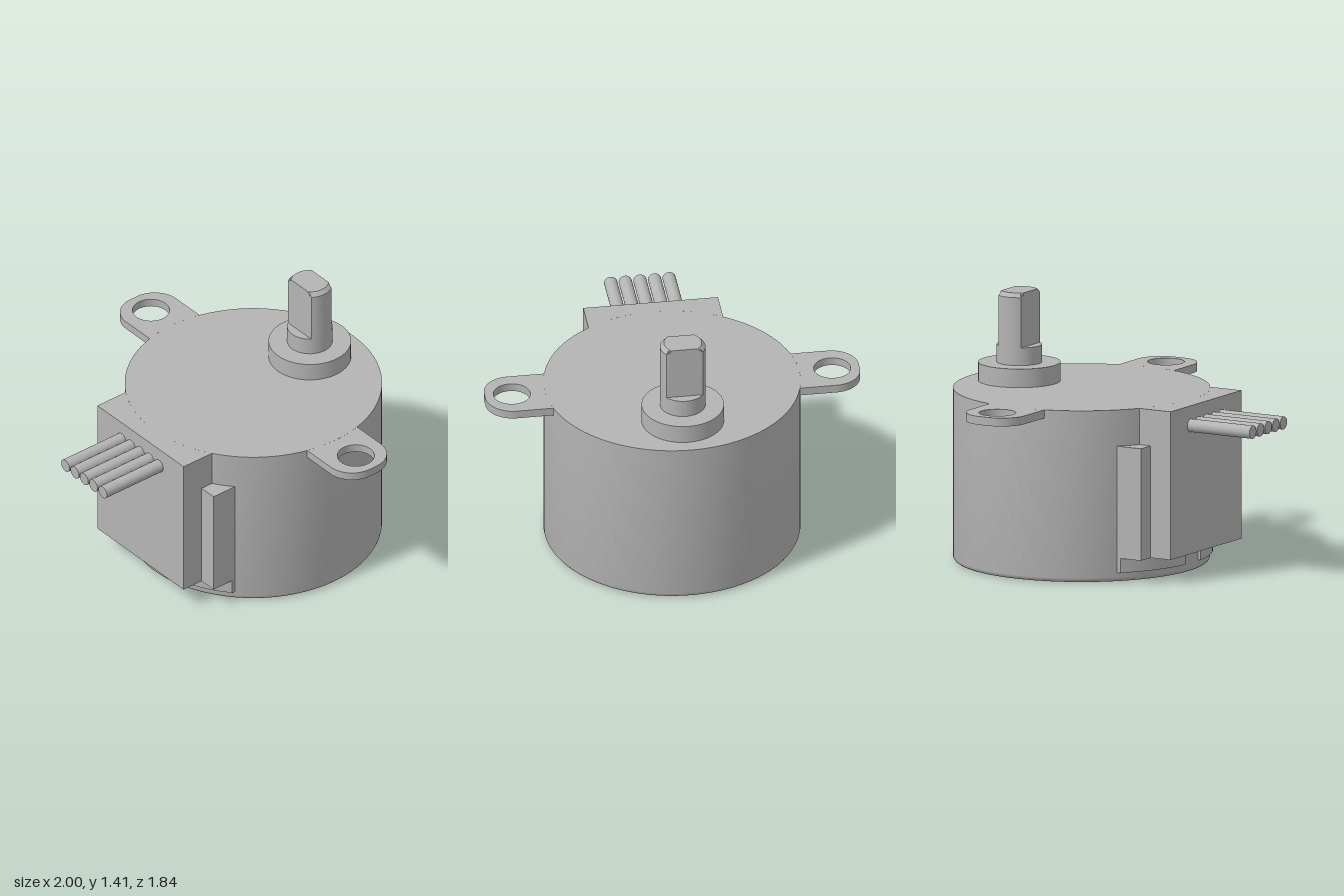
import * as THREE from 'three';
import { toCreasedNormals } from 'three/addons/utils/BufferGeometryUtils.js';

const R = 0.68;        // can radius
const CZ = -0.24;      // can axis
const TOP = 0.925;     // top face of the can

export function createModel() {
  const group = new THREE.Group();
  const metal = new THREE.MeshStandardMaterial({ color: 0xb4b4b4 });
  metal.name = 'grey metal';

  const add = (name, geometry, x = 0, y = 0, z = 0) => {
    const mesh = new THREE.Mesh(geometry, metal);
    mesh.name = name;
    mesh.position.set(x, y, z);
    group.add(mesh);
    return mesh;
  };
  const lathe = (pts, segments) =>
    new THREE.LatheGeometry(pts.map(([r, y]) => new THREE.Vector2(r, y)), segments);
  // Extrudes a plan shape drawn in (x, z) downwards from y = 0
  const slab = (shape, depth) => {
    const g = new THREE.ExtrudeGeometry(shape, { depth, bevelEnabled: false, curveSegments: 32 });
    return toCreasedNormals(g.rotateX(Math.PI / 2), 0.5);
  };

  // Can with a rounded bottom edge
  const f = 0.025;
  const profile = [[0, 0]];
  for (let i = 0; i <= 4; i++) {
    const a = (i / 4) * Math.PI / 2;
    profile.push([R - f + f * Math.sin(a), f - f * Math.cos(a)]);
  }
  profile.push([R, TOP], [0, TOP]);
  add('can', toCreasedNormals(lathe(profile, 96), 0.6), 0, 0, CZ);

  // Mounting ears, fitted against the can
  const w = 0.17, c = 0.145, a = Math.asin(w / R);
  const ear = new THREE.Shape();
  ear.moveTo(R * Math.cos(a), -w);
  ear.lineTo(1 - c, -w);
  ear.absarc(1 - c, -w + c, c, -Math.PI / 2, 0, false);
  ear.absarc(1 - c, w - c, c, 0, Math.PI / 2, false);
  ear.lineTo(R * Math.cos(a), w);
  ear.absarc(0, 0, R, a, -a, true);
  const hole = new THREE.Path();
  hole.absarc(0.856, 0, 0.098, 0, Math.PI * 2, true);
  ear.holes.push(hole);
  const earGeometry = slab(ear, 0.045);
  add('leftEar', earGeometry, 0, TOP, CZ);
  add('rightEar', earGeometry, 0, TOP, CZ).rotation.y = Math.PI;

  // Connector housing, hollowed to the curve of the can
  const h = 0.36, b = Math.acos(h / R);
  const housing = new THREE.Shape();
  housing.moveTo(h, R * Math.sin(b));
  housing.lineTo(h, 0.53 - CZ);
  housing.lineTo(-h, 0.53 - CZ);
  housing.lineTo(-h, R * Math.sin(b));
  housing.absarc(0, 0, R, Math.PI - b, b, true);
  add('connectorHousing', slab(housing, TOP - 0.128), 0, TOP, CZ);

  // Side wings and the curved lips under the housing
  const tr = 0.694, t0 = Math.acos(0.46 / tr), t1 = Math.acos(0.075 / tr);
  for (const s of [1, -1]) {
    const side = s > 0 ? 'left' : 'right';
    add(side + 'Wing', new THREE.BoxGeometry(0.1, 0.602, 0.15), s * 0.41, 0.429, 0.332);
    const lip = new THREE.Shape();
    lip.moveTo(s * 0.075, 0.6);
    lip.lineTo(s * 0.46, 0.49);
    if (s > 0) lip.absarc(0, 0, tr, t0, t1, false);
    else lip.absarc(0, 0, tr, Math.PI - t0, Math.PI - t1, true);
    add(side + 'Lip', slab(lip, 0.078), 0, 0.128, CZ);
  }

  // Five lead wires
  const wire = new THREE.CylinderGeometry(0.035, 0.035, 0.43, 24).rotateX(Math.PI / 2);
  for (let i = -2; i <= 2; i++) add('wire', wire, i * 0.078, 0.82, 0.7);

  // Shaft boss, round shaft base and double-flat shaft tip
  const sz = -0.625;
  add('boss', new THREE.CylinderGeometry(0.218, 0.218, 0.1, 64), 0, 0.975, sz);
  add('shaftBase', new THREE.CylinderGeometry(0.12, 0.12, 0.1, 72), 0, 1.07, sz);
  const tip = lathe([[0, 0], [0.12, 0], [0.12, 0.27], [0.1, 0.292], [0, 0.292]], 72);
  const p = tip.attributes.position;
  for (let i = 0; i < p.count; i++) p.setZ(i, THREE.MathUtils.clamp(p.getZ(i), -0.07, 0.07));
  add('shaftTip', toCreasedNormals(tip, 0.4), 0, 1.12, sz);

  return group;
}
